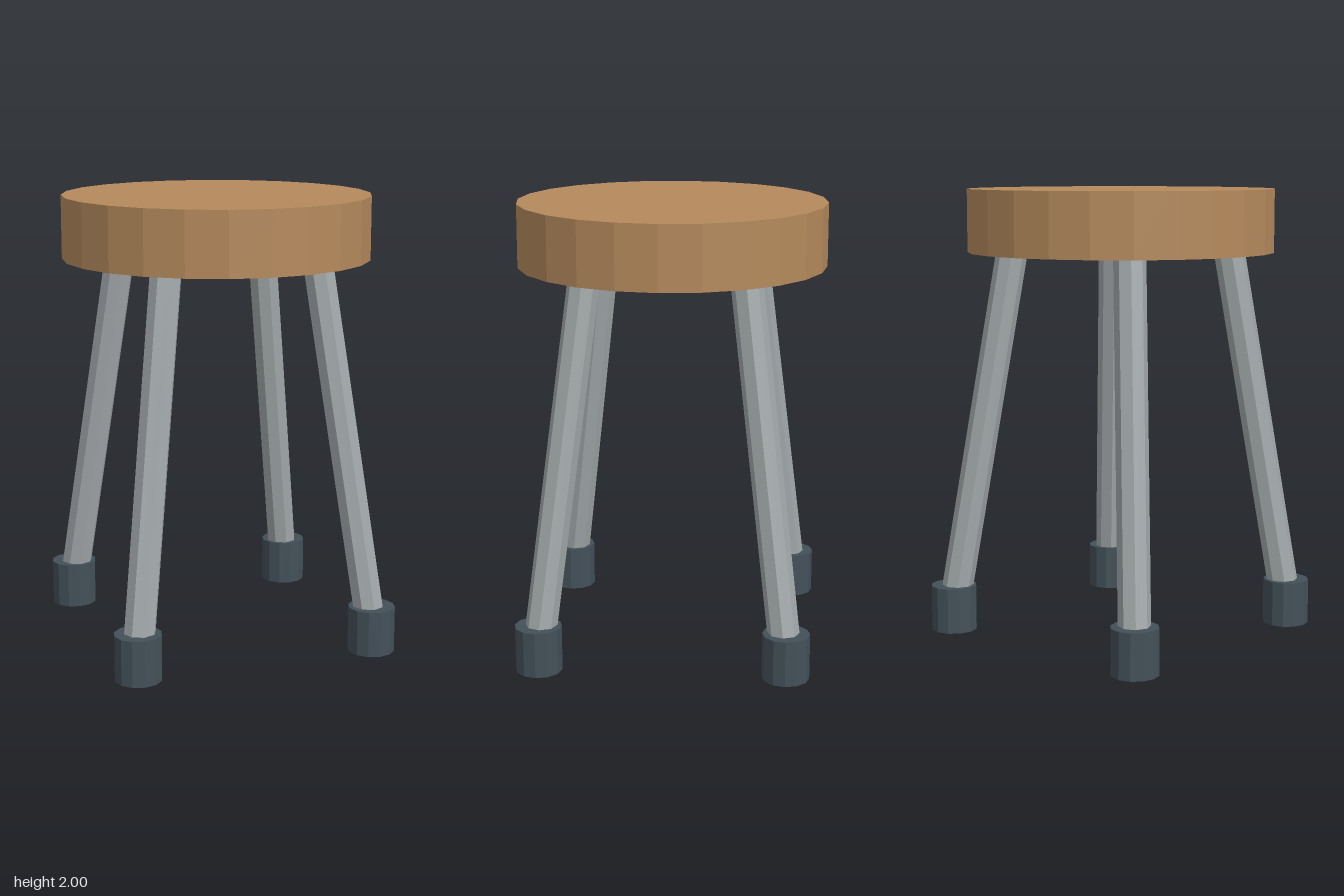
import * as THREE from 'three';

const material = (color) => {
  const m = new THREE.MeshStandardMaterial({ color });
  m.flatShading = true;
  return m;
};

export function createModel() {
  const stool = new THREE.Group();
  stool.name = 'stool';
  const wood = material(0xb58a5c);
  const metal = material(0xa3a9ab);
  const rubber = material(0x435059);

  const add = (name, geometry, mat, parent) => {
    const mesh = new THREE.Mesh(geometry, mat);
    mesh.name = name;
    parent.add(mesh);
    return mesh;
  };

  // Thick round seat
  add('seat', new THREE.CylinderGeometry(0.685, 0.685, 0.28, 24), wood, stool).position.y = 1.86;

  // Four splayed legs, each ending in a foot cap
  const up = new THREE.Vector3(0, 1, 0);
  for (const [zName, sz] of [['front', 1], ['back', -1]]) {
    for (const [xName, sx] of [['Left', 1], ['Right', -1]]) {
      const corner = new THREE.Group();
      corner.name = `${zName}${xName}Support`;
      stool.add(corner);

      const bottom = new THREE.Vector3(0.542 * sx, 0.1, 0.542 * sz);
      const top = new THREE.Vector3(0.339 * sx, 1.77, 0.339 * sz);
      const axis = top.clone().sub(bottom);
      const leg = add('leg', new THREE.CylinderGeometry(0.07, 0.07, axis.length(), 8), metal, corner);
      leg.position.copy(bottom).lerp(top, 0.5);
      leg.quaternion.setFromUnitVectors(up, axis.normalize());

      const foot = add('foot', new THREE.CylinderGeometry(0.104, 0.104, 0.205, 12), rubber, corner);
      foot.position.set(bottom.x, 0.1025, bottom.z);
    }
  }
  return stool;
}
